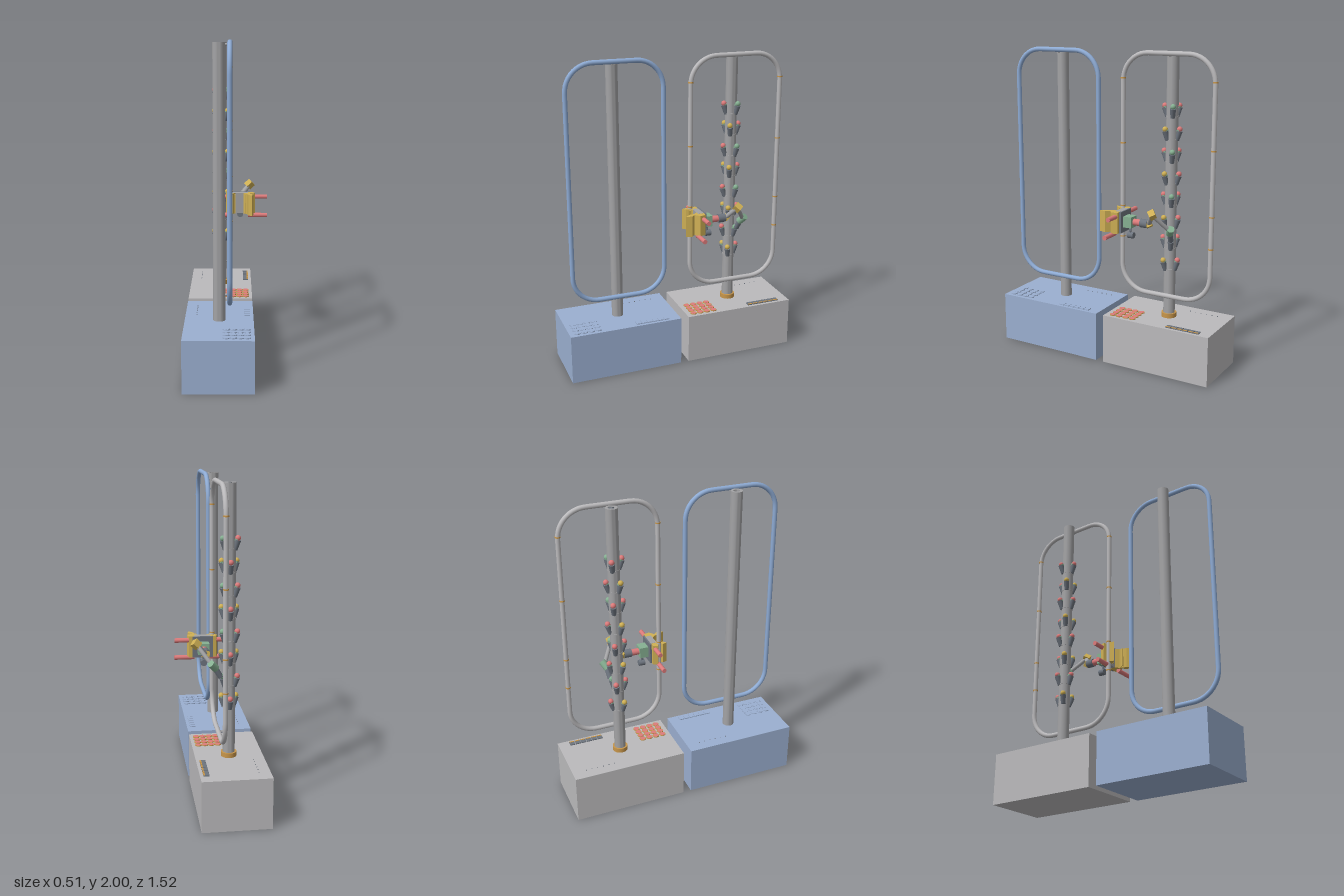
import * as THREE from 'three';
import { toCreasedNormals } from 'three/addons/utils/BufferGeometryUtils.js';

const mat = (name, color) => Object.assign(new THREE.MeshStandardMaterial({ color }), { name });
const M = {
  blue: mat('base blue', 0x9bafd0), loopBlue: mat('loop blue', 0x8eabd4),
  grey: mat('light grey', 0xbbbabc), pole: mat('pole grey', 0xa3a3a5),
  slate: mat('dark slate', 0x6e757f), red: mat('red', 0xdc7b7b),
  yellow: mat('yellow', 0xcfb055), green: mat('green', 0x86b092),
  orange: mat('orange', 0xc8964a),
};

function add(parent, name, geo, material, x = 0, y = 0, z = 0) {
  const m = new THREE.Mesh(geo, material);
  m.name = name;
  m.position.set(x, y, z);
  parent.add(m);
  return m;
}
const box = (w, h, d) => new THREE.BoxGeometry(w, h, d);
const cyl = (r, h, n = 20, r2 = r) => new THREE.CylinderGeometry(r, r2, h, n);

// Cylinder (or square bar) running from point a to point b
function rod(parent, name, a, b, r, material, sides = 16) {
  const p = new THREE.Vector3(...a), q = new THREE.Vector3(...b);
  const m = add(parent, name, cyl(r, p.distanceTo(q), sides), material);
  m.position.copy(p).add(q).multiplyScalar(0.5);
  m.quaternion.setFromUnitVectors(new THREE.Vector3(0, 1, 0), q.sub(p).normalize());
  return m;
}

// Upright rounded rectangular tube loop, in the plane x = 0.015
function loopGeometry(cz) {
  const w = 0.305, y0 = 0.48, y1 = 1.985, r = 0.17, s = new THREE.Shape();
  s.moveTo(-w + r, y0).lineTo(w - r, y0);
  s.absarc(w - r, y0 + r, r, -Math.PI / 2, 0);
  s.lineTo(w, y1 - r);
  s.absarc(w - r, y1 - r, r, 0, Math.PI / 2);
  s.lineTo(-w + r, y1);
  s.absarc(-w + r, y1 - r, r, Math.PI / 2, Math.PI);
  s.lineTo(-w, y0 + r);
  s.absarc(-w + r, y0 + r, r, Math.PI, Math.PI * 1.5);
  const pts = s.getSpacedPoints(120).slice(0, -1).map(p => new THREE.Vector3(0.015, p.y, cz + p.x));
  return new THREE.TubeGeometry(new THREE.CatmullRomCurve3(pts, true), 160, 0.015, 12, true);
}

// Base box with deck details, hollow pole and loop
function station(name, cz, baseMat, loopMat, stocked) {
  const g = new THREE.Group();
  g.name = name;
  add(g, 'base', box(0.42, 0.322, 0.735), baseMat, -0.05, 0.161, cz);

  const tube = [[0.037, 0.32], [0.037, 1.985], [0.02, 1.985], [0.02, 1.9], [0, 1.9]];
  const lathe = new THREE.LatheGeometry(tube.map(p => new THREE.Vector2(...p)), 32);
  add(g, 'pole', toCreasedNormals(lathe, 0.6), M.pole, -0.05, 0, cz);
  add(g, 'loop', loopGeometry(cz), loopMat);
  rod(g, 'loopBracket', [-0.03, 1.972, cz], [0.015, 1.972, cz], 0.007, M.pole);
  rod(g, 'loopBracket', [-0.03, 0.48, cz], [0.015, 0.48, cz], 0.007, M.pole);

  // Four by four grid of round trays
  for (let i = 0; i < 4; i++) for (let j = 0; j < 4; j++) {
    const x = -0.005 + i * 0.041, z = cz + 0.176 + j * 0.047;
    add(g, 'trayRim', cyl(0.021, 0.005), stocked ? M.orange : baseMat, x, 0.3245, z);
    add(g, 'trayDisc', cyl(0.0175, 0.003), stocked ? M.red : baseMat, x, 0.3265, z);
  }
  // Row of slots and row of pin holes
  for (let i = 0; i < 6; i++) {
    const z = cz - 0.277 + i * 0.038;
    add(g, 'slot', box(0.036, 0.006, 0.034), stocked ? M.slate : baseMat, 0.122, 0.325, z);
    if (stocked) add(g, 'slotLabel', box(0.01, 0.002, 0.03), M.orange, 0.135, 0.329, z);
    add(g, 'pinHole', cyl(0.003, 0.004, 8), M.slate, -0.19, 0.323, z);
  }
  return g;
}

// Rings of pockets, each holding a round fruit
function pockets(g, cz) {
  const colours = [[M.yellow, M.yellow, M.red], [M.red, M.red, M.green]];
  for (let row = 0; row < 8; row++) for (let k = 0; k < 3; k++) {
    const odd = row % 2;
    const p = new THREE.Group();
    p.name = 'pocket';
    p.position.set(-0.05, 0.695 + row * 0.138, cz);
    p.rotation.y = -THREE.MathUtils.degToRad((odd ? 90 : 30) + k * 120);
    add(p, 'cup', cyl(0.019, 0.06, 14, 0.014), M.slate, 0.042, -0.03, 0).rotation.z = -0.3;
    add(p, 'leaf', box(0.016, 0.012, 0.032), M.green, 0.045, 0, 0).rotation.z = -0.3;
    add(p, 'fruit', new THREE.SphereGeometry(0.017, 16, 10), colours[odd][k], 0.051, 0.009, 0);
    g.add(p);
  }
  for (let row = 0; row < 8; row++)
    add(g, 'poleBand', cyl(0.039, 0.008, 32), M.pole, -0.05, 0.64 + row * 0.138, cz);
}

// Claw made of a curved outline seen from above, extruded upward, with ribs
function claw(parent, side, reach) {
  const outline = [[0.015, -0.14], [0.085, -0.135], [0.095, -0.095], [0.06, -0.07],
    [0.085, -0.045], [0.075, -0.005], [0.055, -0.03], [0.04, -0.075], [0.015, -0.105]];
  const pts = outline.map(([x, z]) => new THREE.Vector2(side * x, -(-0.14 + (z + 0.14) * reach)));
  const geo = new THREE.ExtrudeGeometry(new THREE.Shape(pts), { depth: 0.135, bevelEnabled: false });
  geo.rotateX(-Math.PI / 2);
  add(parent, 'claw', geo, M.yellow, 0.08, 0.882, 0);
  for (const x of [0.035, 0.05])
    add(parent, 'clawRib', box(0.006, 0.125, 0.012), M.yellow, 0.08 + side * x, 0.95, -0.14 + 0.085 * reach);
}

function arm() {
  const g = new THREE.Group();
  g.name = 'pickingArm';
  const shoulder = [0.055, 0.915, -0.445], elbow = [0.145, 1.03, -0.365];
  const wrist = [0.08, 0.95, -0.31];
  // Shoulder and links
  rod(g, 'mount', [0.005, 0.84, -0.425], [0.04, 0.9, -0.435], 0.017, M.slate);
  rod(g, 'shoulderMotor', [0.035, 0.895, -0.43], [0.07, 0.935, -0.455], 0.023, M.green);
  rod(g, 'upperArm', shoulder, elbow, 0.013, M.pole);
  add(g, 'elbow', box(0.045, 0.045, 0.04), M.yellow, ...elbow).rotation.set(0.5, 0.5, 0.6);
  rod(g, 'forearm', elbow, wrist, 0.015, M.pole);
  add(g, 'wrist', box(0.036, 0.036, 0.034), M.yellow, ...wrist).rotation.set(0.5, 0.4, 0.2);
  rod(g, 'wristMotor', [0.08, 0.95, -0.305], [0.08, 0.95, -0.255], 0.027, M.slate);
  rod(g, 'wristFlange', [0.08, 0.95, -0.255], [0.08, 0.95, -0.205], 0.021, M.red);
  // Camera under the hand
  rod(g, 'camera', [0.08, 0.862, -0.205], [0.08, 0.862, -0.165], 0.02, M.slate);
  add(g, 'cameraStem', box(0.012, 0.05, 0.012), M.slate, 0.08, 0.895, -0.18);
  // Hand
  add(g, 'handBlock', box(0.07, 0.07, 0.06), M.green, 0.08, 0.95, -0.175);
  add(g, 'palmPlate', box(0.13, 0.135, 0.012), M.slate, 0.08, 0.95, -0.142);
  add(g, 'palmFace', box(0.1, 0.135, 0.04), M.pole, 0.08, 0.95, -0.118);
  claw(g, 1, 1);
  claw(g, -1, 0.75);
  for (const s of [-1, 1]) for (const [y, z] of [[0.99, -0.12], [0.872, -0.095]])
    rod(g, 'sideRod', [0.08 + s * 0.05, y, z], [0.08 + s * 0.175, y, z], 0.0145, M.red);
  return g;
}

export function createModel() {
  const model = new THREE.Group();
  model.name = 'growingStations';
  model.add(station('frontStation', 0.394, M.blue, M.loopBlue, false));

  const rear = station('rearStation', -0.394, M.grey, M.grey, true);
  add(rear, 'poleCollar', cyl(0.048, 0.03, 32), M.orange, -0.05, 0.336, -0.394);
  pockets(rear, -0.394);
  // Orange joints on the loop
  for (const y of [0.83, 1.03, 1.43, 1.83]) for (const s of [-1, 1])
    add(rear, 'loopJoint', cyl(0.0165, 0.008, 16), M.orange, 0.015, y, -0.394 + s * 0.305);
  // Spokes inside the pole mouth
  for (let i = 0; i < 3; i++)
    add(rear, 'poleSpoke', box(0.05, 0.01, 0.005), M.slate, -0.05, 1.978, -0.394).rotation.y = i * Math.PI / 3;
  model.add(rear, arm());
  return model;
}
